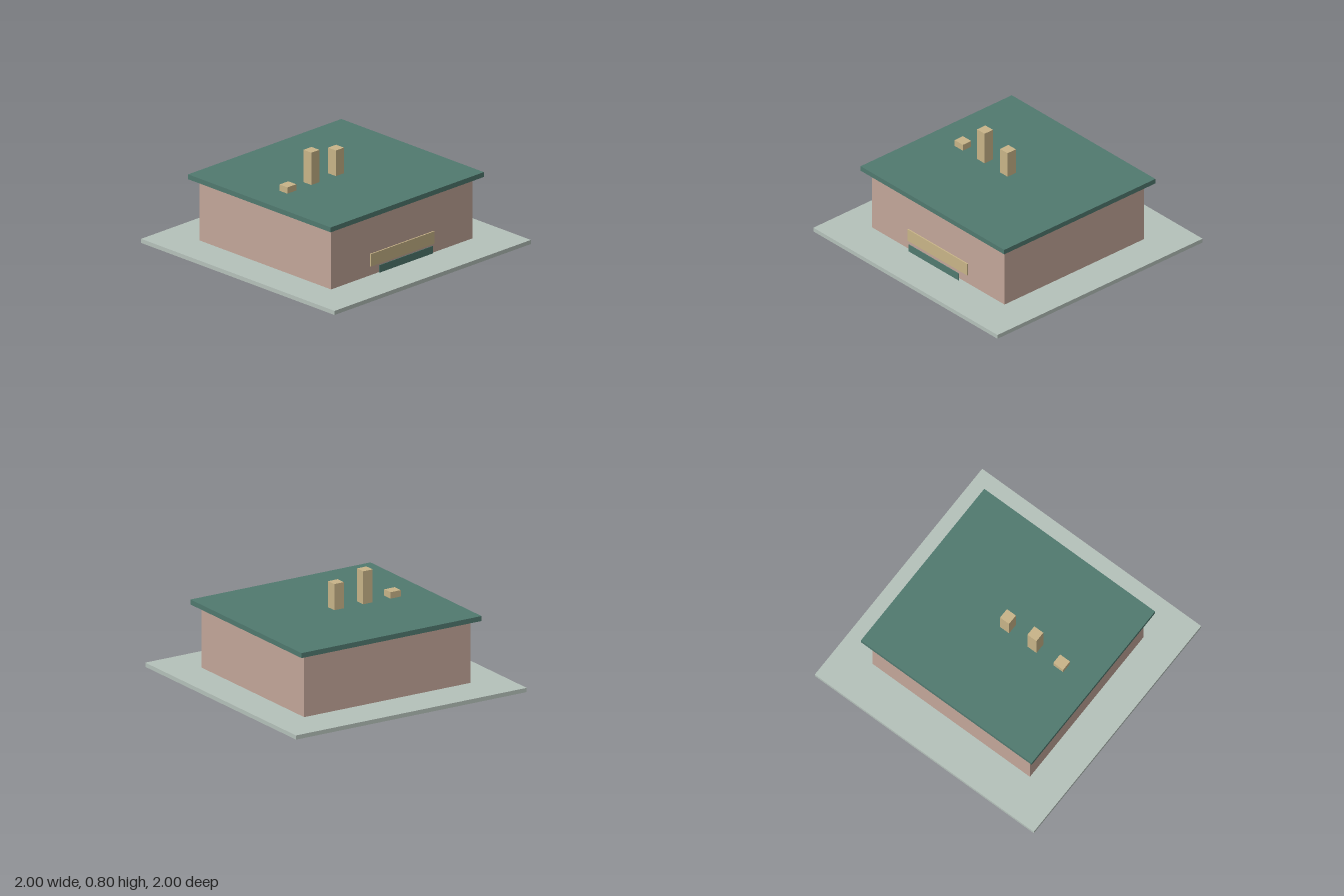
import * as THREE from 'three';

export function createModel() {
  const model = new THREE.Group();
  model.name = 'building';

  const mat = (name, color) => {
    const m = new THREE.MeshStandardMaterial({ color });
    m.name = name;
    return m;
  };
  const stone = mat('pale grey green', 0xb5c1ba);
  const wall = mat('dusty pink', 0xc3a699);
  const green = mat('deep green', 0x50796f);
  const tan = mat('tan', 0xc8b488);
  const teal = mat('teal', 0x3d8580);

  // Box given by its minimum and maximum along each axis
  const box = (name, material, [x0, x1], [y0, y1], [z0, z1]) => {
    const mesh = new THREE.Mesh(new THREE.BoxGeometry(x1 - x0, y1 - y0, z1 - z0), material);
    mesh.position.set((x0 + x1) / 2, (y0 + y1) / 2, (z0 + z1) / 2);
    mesh.name = name;
    model.add(mesh);
  };

  // Ground slab, walls and overhanging flat roof
  box('groundSlab', stone, [-1, 1], [0, 0.032], [-1, 1]);
  box('walls', wall, [-0.72, 0.72], [0.032, 0.51], [-0.68, 0.68]);
  box('roof', green, [-0.78, 0.78], [0.51, 0.548], [-0.737, 0.737]);

  // Row of chimneys
  const chimneys = [[-0.49, 0.045, 0.597], [-0.25, 0.041, 0.8], [0, 0.041, 0.748]];
  for (const [x, half, top] of chimneys) {
    box('chimney', tan, [x - half, x + half], [0.548, top], [-0.041, 0.041]);
  }

  // Front panel and the thin board standing before it
  box('frontPanel', tan, [-0.325, 0.325], [0.103, 0.2], [0.68, 0.69]);
  box('frontBoard', green, [-0.272, 0.272], [0.052, 0.11], [0.722, 0.727]);

  // Small blocks under the eaves
  box('frontEaveBlock', teal, [-0.015, 0.015], [0.492, 0.51], [0.675, 0.69]);
  box('leftEaveBlock', teal, [0.715, 0.73], [0.492, 0.51], [-0.015, 0.015]);

  return model;
}
